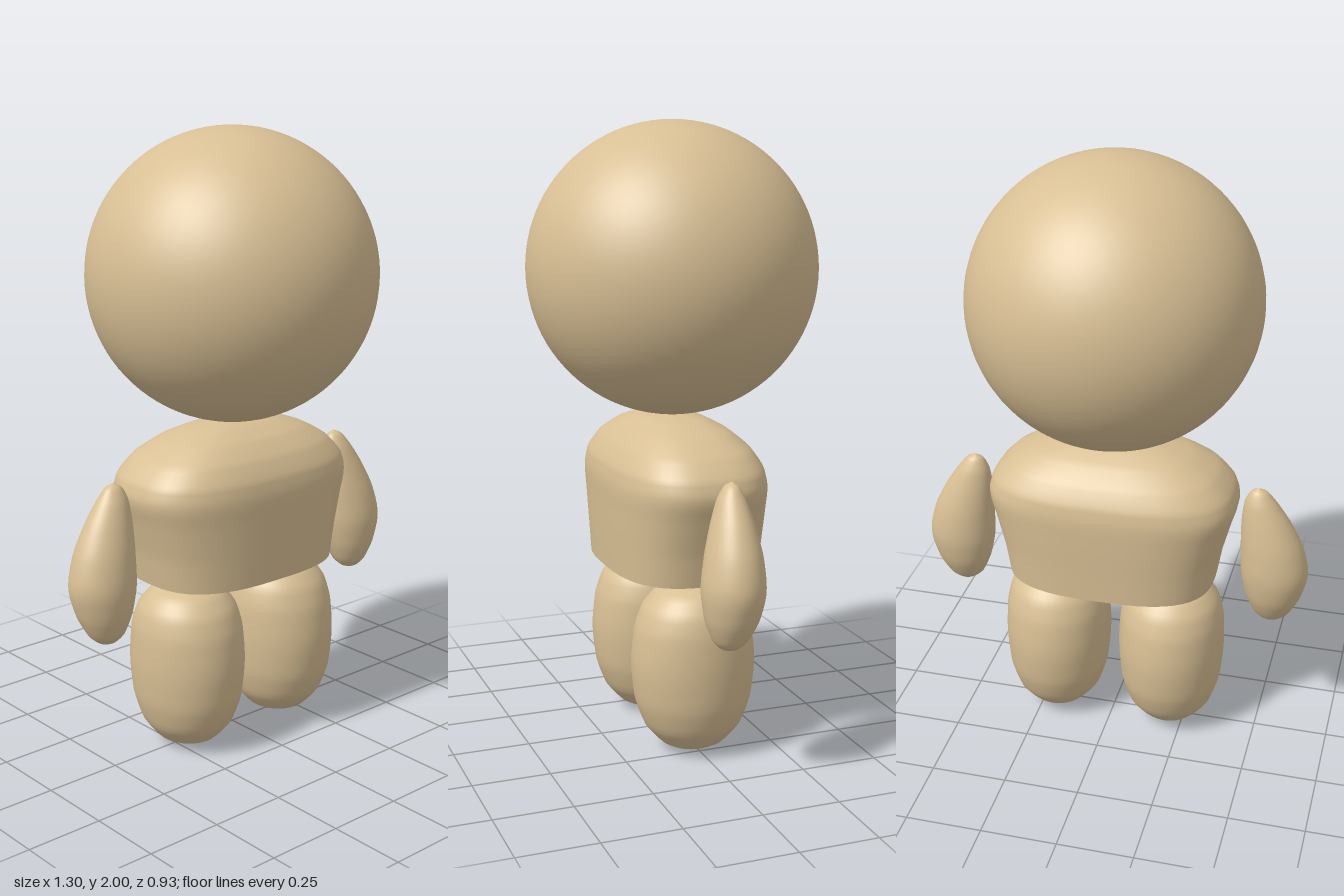
import * as THREE from 'three';

const SEG = 48;

// Superellipse point: n = 2 is an ellipse, larger n is boxier
const spow = (v, n) => Math.sign(v) * Math.pow(Math.abs(v), 2 / n);

// Smooth skin over key rings [y, centreX, centreZ, radiusX, radiusZ], bottom to top
function loft(rows, n = 2, steps = 40) {
  const centres = new THREE.CatmullRomCurve3(rows.map(r => new THREE.Vector3(r[1], r[0], r[2])));
  const radii = new THREE.CatmullRomCurve3(rows.map(r => new THREE.Vector3(r[3], 0, r[4])));
  const pos = [], index = [];
  for (let i = 0; i <= steps; i++) {
    const c = centres.getPoint(i / steps), r = radii.getPoint(i / steps);
    for (let j = 0; j < SEG; j++) {
      const a = (j / SEG) * Math.PI * 2;
      pos.push(c.x + Math.max(r.x, 0) * spow(Math.cos(a), n), c.y, c.z + Math.max(r.z, 0) * spow(Math.sin(a), n));
      if (i === steps) continue;
      const p = i * SEG + j, q = i * SEG + (j + 1) % SEG;
      index.push(p, p + SEG, q, q, p + SEG, q + SEG);
    }
  }
  const g = new THREE.BufferGeometry();
  g.setAttribute('position', new THREE.Float32BufferAttribute(pos, 3));
  g.setIndex(index);
  g.computeVertexNormals();
  return g;
}

export function createModel() {
  const group = new THREE.Group();
  const tan = new THREE.MeshStandardMaterial({ color: 0xd8bf94 });
  tan.name = 'tan';
  const add = (name, geometry) => {
    const mesh = new THREE.Mesh(geometry, tan);
    mesh.name = name;
    group.add(mesh);
    return mesh;
  };

  // Head
  add('head', new THREE.SphereGeometry(0.465, 64, 48)).position.y = 1.535;

  // Torso: flared upward to rounded shoulders, flat underneath
  add('torso', loft([
    [0.58, 0, -0.002, 0.345, 0.237],
    [0.68, 0, -0.002, 0.362, 0.241],
    [0.79, 0, -0.003, 0.39, 0.245],
    [0.87, 0, -0.003, 0.41, 0.246],
    [0.92, 0, -0.003, 0.398, 0.238],
    [0.98, 0, -0.002, 0.345, 0.204],
    [1.03, 0, 0, 0.258, 0.148],
    [1.06, 0, 0, 0.16, 0.088],
    [1.073, 0, 0, 0.06, 0.035],
    [1.075, 0, 0, 0, 0],
  ], 2.8, 54));
  const outline = [];
  for (let j = 0; j < SEG; j++) {
    const a = (j / SEG) * Math.PI * 2;
    outline.push(new THREE.Vector2(0.345 * spow(Math.cos(a), 2.8), 0.237 * spow(Math.sin(a), 2.8)));
  }
  const base = add('torsoBase', new THREE.ShapeGeometry(new THREE.Shape(outline)));
  base.rotation.x = Math.PI / 2;
  base.position.set(0, 0.58, -0.002);

  for (const s of [1, -1]) {
    const side = s > 0 ? 'left' : 'right';

    // Leg: upright egg, fuller at the top
    add(side + 'Leg', loft([
      [0, 0.2, 0.005, 0, 0],
      [0.006, 0.2, 0.005, 0.045, 0.05],
      [0.03, 0.2, 0.005, 0.095, 0.103],
      [0.09, 0.2, 0.005, 0.143, 0.157],
      [0.18, 0.2, 0.005, 0.17, 0.19],
      [0.3, 0.2, 0.005, 0.179, 0.201],
      [0.41, 0.2, 0.005, 0.175, 0.19],
      [0.48, 0.2, 0.005, 0.158, 0.165],
      [0.53, 0.2, 0.005, 0.12, 0.122],
      [0.554, 0.2, 0.005, 0.065, 0.066],
      [0.56, 0.2, 0.005, 0, 0],
    ].map(([y, x, ...rest]) => [y, x * s, ...rest])));

    // Arm: teardrop leaning out and slightly forward
    add(side + 'Arm', loft([
      [0.44, 0.535, 0.02, 0, 0],
      [0.445, 0.535, 0.02, 0.027, 0.025],
      [0.47, 0.535, 0.018, 0.058, 0.052],
      [0.54, 0.538, 0.013, 0.092, 0.083],
      [0.635, 0.539, 0.009, 0.111, 0.096],
      [0.73, 0.527, 0.004, 0.102, 0.086],
      [0.82, 0.505, -0.001, 0.08, 0.065],
      [0.89, 0.486, -0.005, 0.053, 0.043],
      [0.93, 0.479, -0.008, 0.027, 0.021],
      [0.943, 0.477, -0.01, 0, 0],
    ].map(([y, x, ...rest]) => [y, x * s, ...rest])));
  }
  return group;
}
